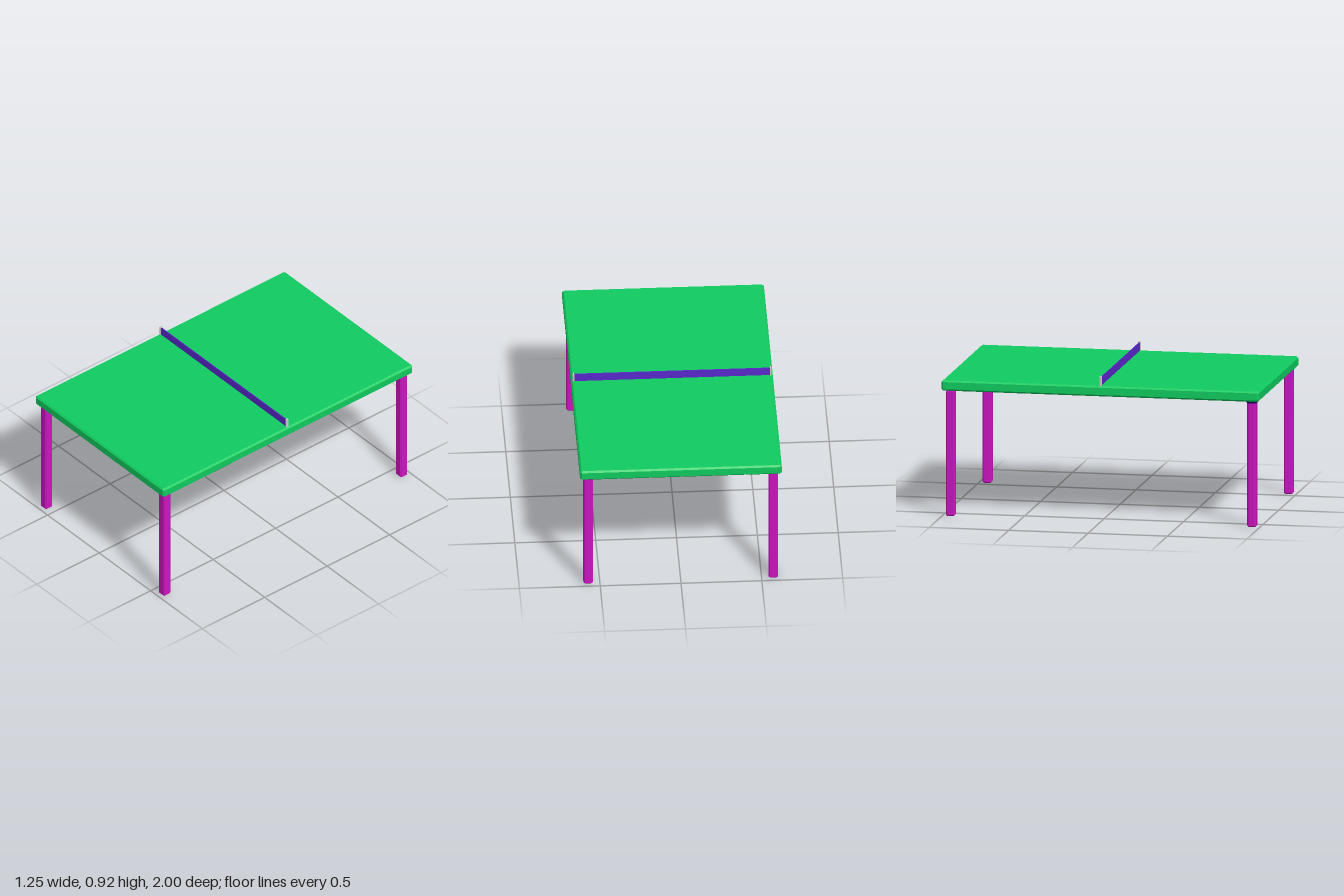
import * as THREE from 'three';

const material = (color) => new THREE.MeshStandardMaterial({ color, flatShading: true });

// Chamfered block lofted through rings [y, halfWidth, halfDepth, cornerCut], bottom to top
function chamferedBlock(rings) {
  const pos = [];
  const index = [];
  for (const [y, w, d, c] of rings) {
    const corners = [
      [w, d - c], [w - c, d], [c - w, d], [-w, d - c],
      [-w, c - d], [c - w, -d], [w - c, -d], [w, c - d],
    ];
    for (const [x, z] of corners) pos.push(x, y, z);
  }
  const n = 8;
  const last = (rings.length - 1) * n;
  for (let r = 0; r < last; r += n) {
    for (let i = 0; i < n; i++) {
      const j = (i + 1) % n;
      index.push(r + i, r + n + i, r + j, r + j, r + n + i, r + n + j);
    }
  }
  // End caps
  for (let i = 1; i < n - 1; i++) {
    index.push(0, i, i + 1, last, last + i + 1, last + i);
  }
  const geometry = new THREE.BufferGeometry();
  geometry.setAttribute('position', new THREE.Float32BufferAttribute(pos, 3));
  geometry.setIndex(index);
  const flat = geometry.toNonIndexed();
  flat.computeVertexNormals();
  return flat;
}

export function createModel() {
  const model = new THREE.Group();
  const green = material(0x10cc60);
  const magenta = material(0xcc14c0);
  const navy = material(0x14148c);
  const purple = material(0x5a28cc);
  const grey = material(0xcccccc);

  const add = (name, geometry, mat, x = 0, y = 0, z = 0) => {
    const mesh = new THREE.Mesh(geometry, mat);
    mesh.name = name;
    mesh.position.set(x, y, z);
    model.add(mesh);
  };

  // Table top with bevelled edges
  add('tableTop', chamferedBlock([
    [0.79, 0.614, 0.99, 0.005],
    [0.8, 0.624, 1, 0.01],
    [0.845, 0.624, 1, 0.01],
    [0.855, 0.614, 0.99, 0.005],
  ]), green);

  // Legs with bevelled feet
  const leg = chamferedBlock([
    [0, 0.021, 0.021, 0.004],
    [0.008, 0.029, 0.028, 0.008],
    [0.782, 0.029, 0.028, 0.008],
  ]);
  // Tapered brackets, fitted to the front pair of legs only
  const bracket = chamferedBlock([
    [0.778, 0.029, 0.028, 0.008],
    [0.791, 0.04, 0.036, 0.01],
  ]);
  for (const [side, sx] of [['left', 1], ['right', -1]]) {
    add(`${side}FrontLeg`, leg, magenta, 0.573 * sx, 0, 0.949);
    add(`${side}BackLeg`, leg, magenta, 0.573 * sx, 0, -0.949);
    add(`${side}FrontBracket`, bracket, navy, 0.573 * sx, 0, 0.949);
  }

  // Net
  add('net', new THREE.BoxGeometry(1.212, 0.054, 0.006), purple, 0, 0.88, 0);

  // Net posts with a small bevel on top
  const post = chamferedBlock([
    [0.85, 0.005, 0.009, 0.002],
    [0.91, 0.005, 0.009, 0.002],
    [0.915, 0.003, 0.006, 0.001],
  ]);
  add('leftNetPost', post, grey, 0.61, 0, 0);
  add('rightNetPost', post, grey, -0.61, 0, 0);

  return model;
}
